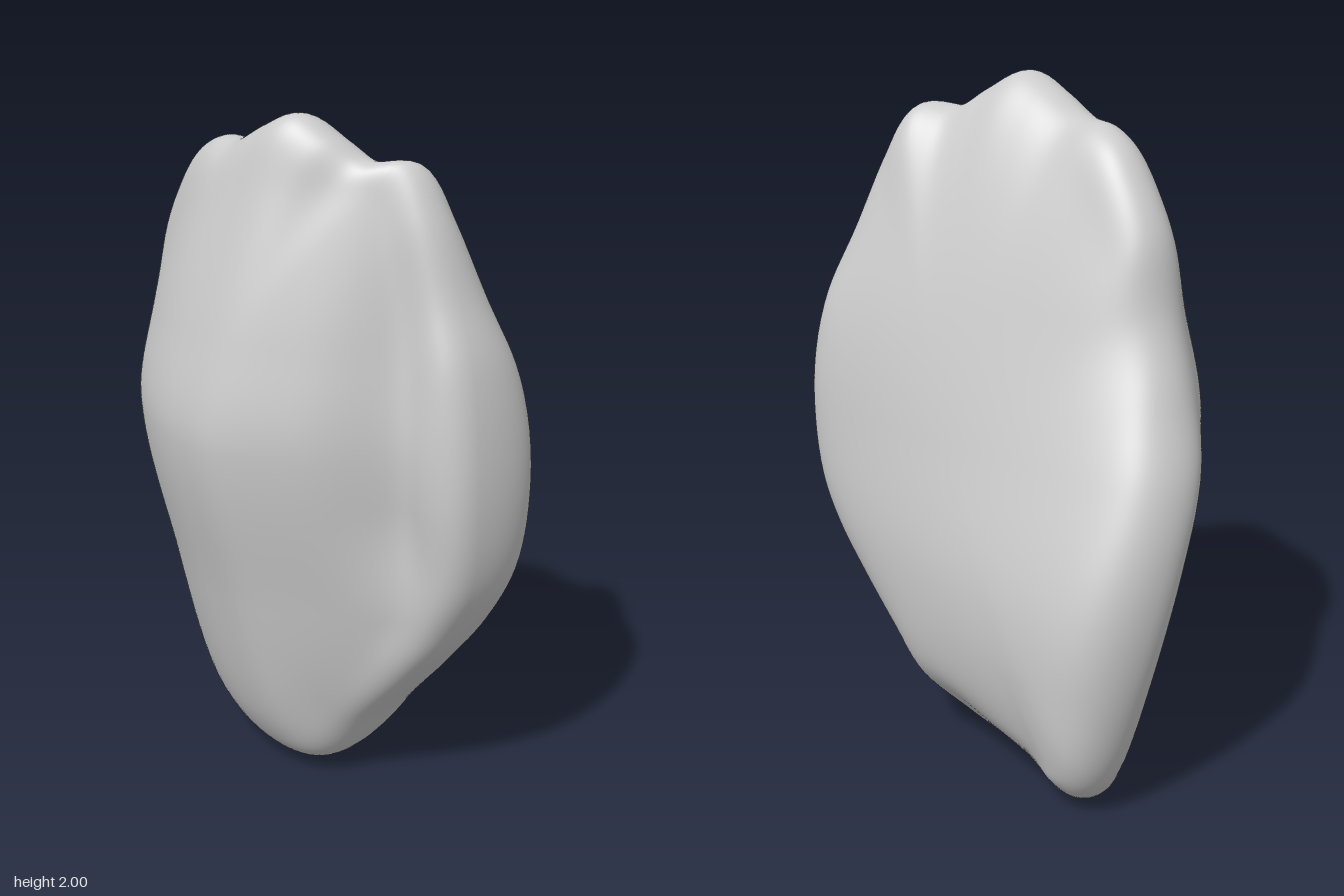
import * as THREE from 'three';
import { mergeVertices } from 'three/addons/utils/BufferGeometryUtils.js';

// Rim of the flattened body, as [z, y, x], from the top peak round the front
const RIM = [
  [0.15, 2.0, -0.08], [0.24, 1.95, -0.04], [0.31, 1.89, 0.03], [0.4, 1.89, 0.11],
  [0.48, 1.76, 0.14], [0.55, 1.55, 0.165], [0.62, 1.35, 0.17], [0.66, 1.0, 0.17],
  [0.63, 0.73, 0.18], [0.55, 0.55, 0.16], [0.45, 0.4, 0.11], [0.31, 0.22, 0.06],
  [0.2, 0.06, 0.03], [0.08, 0.015, 0.02], [-0.15, 0.005, 0.03], [-0.43, 0.01, 0.11],
  [-0.53, 0.1, 0.15], [-0.61, 0.35, 0.13], [-0.655, 0.7, 0.06], [-0.63, 0.98, -0.02],
  [-0.54, 1.2, -0.07], [-0.45, 1.4, -0.11], [-0.4, 1.62, -0.12], [-0.32, 1.76, -0.12],
  [-0.24, 1.85, -0.12], [-0.16, 1.89, -0.12], [-0.06, 1.9, -0.12], [0.05, 1.96, -0.1],
];

// Smooth interpolation through [y, x] points
function profile(points) {
  return (y) => {
    let k = 0;
    while (k < points.length - 2 && y > points[k + 1][0]) k++;
    const at = (i) => points[Math.min(Math.max(i, 0), points.length - 1)];
    const [y0, x0] = at(k), [y1, x1] = at(k + 1);
    const slope = (i) => (at(i + 1)[1] - at(i - 1)[1]) / (at(i + 1)[0] - at(i - 1)[0]);
    const h = y1 - y0, t = THREE.MathUtils.clamp((y - y0) / h, 0, 1);
    return x0 * (1 + 2 * t) * (1 - t) ** 2 + x1 * t * t * (3 - 2 * t)
      + h * t * (1 - t) * ((1 - t) * slope(k) - t * slope(k + 1));
  };
}

const rightProfile = profile([[0, 0.2], [0.2, 0.31], [0.6, 0.36], [1, 0.295], [1.4, 0.19], [1.8, 0.06], [2, 0]]);
const leftProfile = profile([[0, -0.13], [0.2, -0.2], [0.6, -0.3], [1.1, -0.41], [1.4, -0.36], [1.8, -0.24], [2, -0.18]]);
const bump = (d, w) => Math.exp(-((d / w) ** 2));
const step = THREE.MathUtils.smoothstep;
const softPositive = (d, k) => 0.5 * (d + Math.sqrt(d * d + k));

// Flatter flank, leaning outward at the front, with a small knob low at the back
function rightFlank(y, z) {
  return rightProfile(y) + z * (0.1 + 0.28 * step(y, 0.4, 1.4))
    + 0.05 * bump(y - 0.1, 0.05) * bump(z + 0.43, 0.06)
    - 0.03 * bump(y - 0.14, 0.08) * bump(z - 0.05, 0.15);
}

// Bulging flank, cut away diagonally towards the front and grooved beside the front lobe
function leftFlank(y, z) {
  const back = z < 0 ? 0.75 * z * z : 0;
  return leftProfile(y) + 1.1 * softPositive(z - 0.175, 0.006) + back
    + 0.08 * step(y, 0.6, 0.95) * bump(z - 0.49, 0.08);
}

// Half thickness of the rounded rim: fuller at the back and base
function rimHalfWidth(p) {
  const back = step(-p.z, 0.3, 0.6) * (1 - step(p.y, 1.0, 1.5));
  const base = 1 - step(p.y, 0, 0.4);
  return 0.125 + 0.045 * Math.max(back, base) + 0.015 * step(p.z, 0.4, 0.6);
}

function bodyGeometry(rings = 120, around = 180) {
  const rim = new THREE.CatmullRomCurve3(RIM.map(([z, y, x]) => new THREE.Vector3(x, y, z)), true);
  const rimPoints = Array.from({ length: around }, (_, j) => rim.getPoint(j / around));
  const positions = [], index = [];
  for (let i = 0; i <= rings; i++) {
    // Rings run from the middle of one flank, over the rim, to the middle of the other
    const phi = (Math.PI * i) / rings;
    const s = i === rings ? 0 : Math.sin(phi);
    const dome = Math.sqrt(Math.max(0, 1 - s ** 9));
    const right = phi <= Math.PI / 2;
    for (const p of rimPoints) {
      const y = 0.95 + (p.y - 0.95) * s, z = p.z * s;
      const reach = right ? rightFlank(y, z) - p.x : p.x - leftFlank(y, z);
      const thickness = reach + softPositive(rimHalfWidth(p) - reach, 0.001) * s * s;
      positions.push(p.x + (right ? 1 : -1) * thickness * dome, y, z);
    }
  }
  for (let i = 0; i < rings; i++) {
    for (let j = 0; j < around; j++) {
      const k = (j + 1) % around;
      const a = i * around + j, b = a + around, c = (i + 1) * around + k, d = i * around + k;
      if (i < rings - 1) index.push(a, b, c);
      if (i > 0) index.push(a, c, d);
    }
  }
  const geometry = new THREE.BufferGeometry();
  geometry.setAttribute('position', new THREE.Float32BufferAttribute(positions, 3));
  geometry.setIndex(index);
  const merged = mergeVertices(geometry, 1e-5);
  merged.computeVertexNormals();
  return merged;
}

export function createModel() {
  const group = new THREE.Group();
  const body = new THREE.Mesh(bodyGeometry(), new THREE.MeshStandardMaterial({ color: 0xcccccc }));
  body.name = 'lobedBody';
  group.add(body);
  return group;
}
